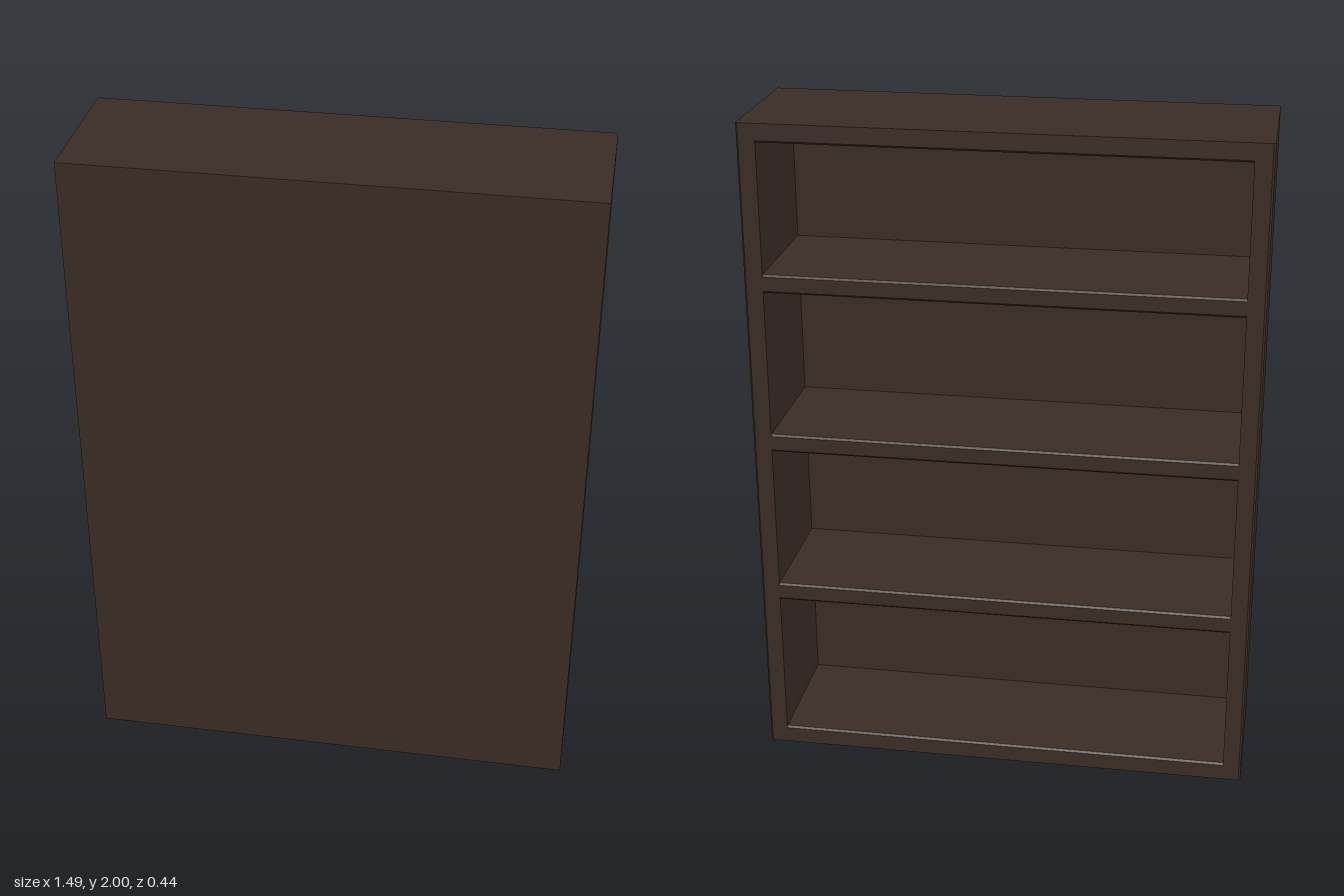
import * as THREE from 'three';

const W = 0.745, D = 0.22, T = 0.055, C = 0.006; // half width, half depth, board, chamfer
const BACK = 0.17; // inner face of the closing panel
const wood = new THREE.MeshStandardMaterial({ color: 0x3a2c25, flatShading: true });

// Board profile: u runs along the depth from the open edge, v across the thickness.
// The edges at the open end are chamfered where asked.
function boardGeometry(depth, length, low, high) {
  const s = new THREE.Shape();
  s.moveTo(low, 0);
  s.lineTo(depth, 0);
  s.lineTo(depth, T);
  s.lineTo(high, T);
  if (high) s.lineTo(0, T - high);
  if (low) s.lineTo(0, low);
  else s.lineTo(0, 0);
  return new THREE.ExtrudeGeometry(s, { depth: length, bevelEnabled: false })
    .translate(-depth / 2, -T / 2, -length / 2);
}

export function createModel() {
  const group = new THREE.Group();
  const add = (name, geometry, x, y, z) => {
    const mesh = new THREE.Mesh(geometry, wood);
    mesh.name = name;
    mesh.position.set(x, y, z);
    group.add(mesh);
  };

  // Closing panel on the +z side
  add('backPanel', new THREE.BoxGeometry(2 * W, 2, D - BACK), 0, 1, (D + BACK) / 2);

  // Side panels, chamfered on the inner open edge
  const depth = BACK + D, zMid = (BACK - D) / 2;
  for (const side of [1, -1]) {
    const g = boardGeometry(depth, 2, side > 0 ? 0 : C, side > 0 ? C : 0);
    g.rotateX(-Math.PI / 2).rotateY(-Math.PI / 2);
    // thickness now runs along x; the board's high face points to -x
    const p = g.attributes.position;
    // slight outward flare at the open edge
    for (let i = 0; i < p.count; i++) {
      if (p.getX(i) * side > T / 2 - 0.001 && p.getZ(i) < -depth / 2 + 0.001) {
        p.setX(i, p.getX(i) + side * 0.004);
      }
    }
    g.computeVertexNormals();
    add(side > 0 ? 'leftSide' : 'rightSide', g, side * (W - T / 2), 1, zMid);
  }

  // Horizontal boards between the sides
  const boards = [
    ['bottomBoard', T / 2, 0, C],
    ['lowerShelf', 0.538, C, C],
    ['middleShelf', 1.035, C, C],
    ['upperShelf', 1.532, C, C],
    ['topBoard', 2 - T / 2, C, 0],
  ];
  for (const [name, y, low, high] of boards) {
    const g = boardGeometry(depth, 2 * (W - T), low, high).rotateY(-Math.PI / 2);
    add(name, g, 0, y, zMid);
  }
  return group;
}
